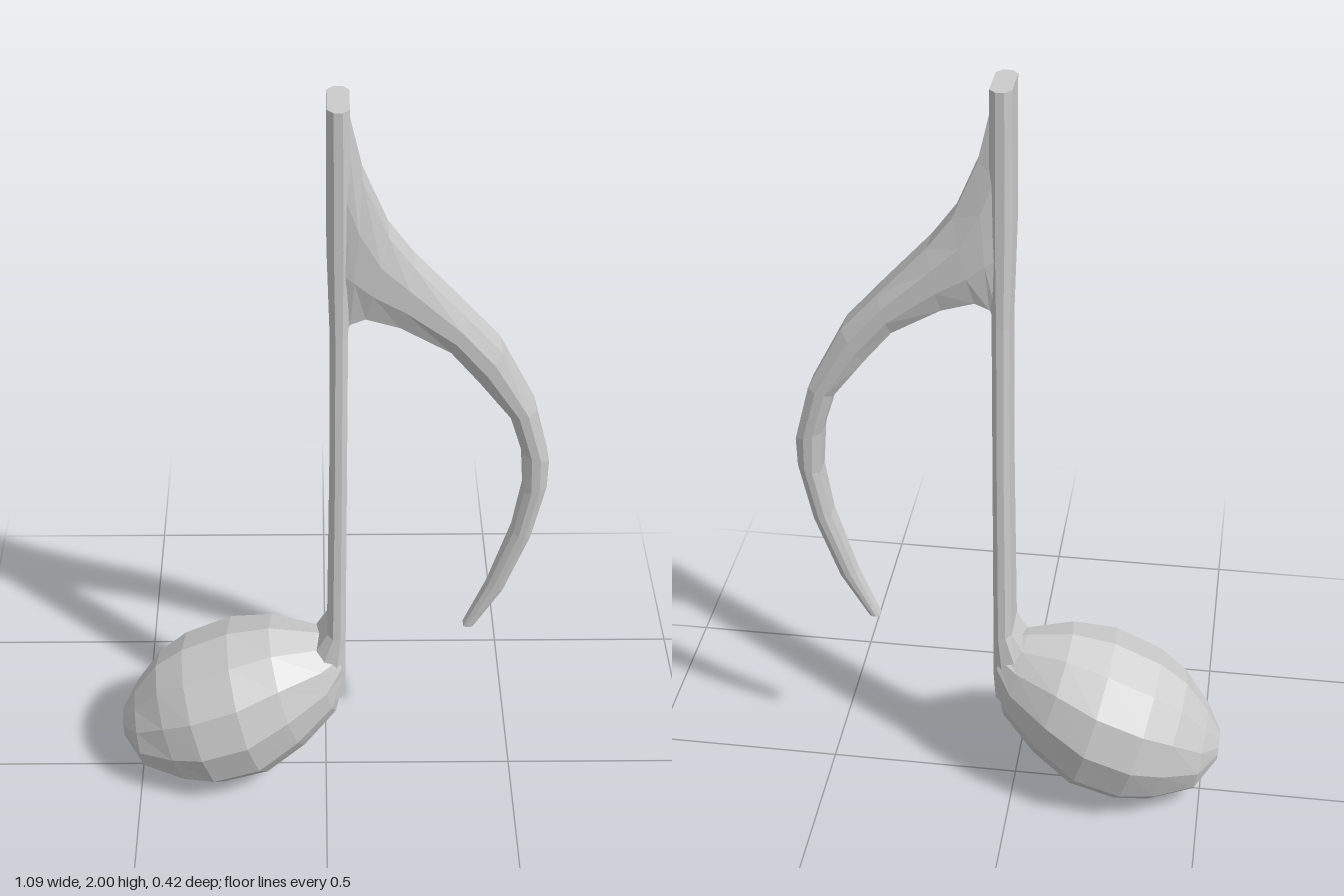
import * as THREE from 'three';

const material = new THREE.MeshStandardMaterial({ color: 0xcccccc, flatShading: true });

// Unit profiles: u runs between the two outline points, v runs along z
const oval = Array.from({ length: 12 }, (_, i) => {
  const t = (i / 12) * Math.PI * 2;
  return [Math.cos(t), Math.sin(t)];
});
const chamfered = (u, v) => [[1, -v], [1, v], [u, 1], [-u, 1], [-1, v], [-1, -v], [-u, -1], [u, -1]];

// Skin a profile through sections [ax, ay, bx, by, halfDepth] and cap both ends
function loft(name, sections, profile) {
  const n = profile.length;
  const positions = [];
  const index = [];
  for (const [ax, ay, bx, by, h] of sections) {
    for (const [u, v] of profile) {
      const s = (1 + u) / 2;
      positions.push(bx + (ax - bx) * s, by + (ay - by) * s, v * h);
    }
  }
  for (let i = 0; i < sections.length - 1; i++) {
    for (let j = 0; j < n; j++) {
      const a = i * n + j, b = i * n + ((j + 1) % n);
      index.push(a, b, b + n, a, b + n, a + n);
    }
  }
  const last = (sections.length - 1) * n;
  for (let j = 1; j < n - 1; j++) {
    index.push(0, j + 1, j);
    index.push(last, last + j, last + j + 1);
  }
  const indexed = new THREE.BufferGeometry();
  indexed.setAttribute('position', new THREE.Float32BufferAttribute(positions, 3));
  indexed.setIndex(index);
  const geometry = indexed.toNonIndexed();
  geometry.computeVertexNormals();
  const mesh = new THREE.Mesh(geometry, material);
  mesh.name = name;
  return mesh;
}

export function createModel() {
  const group = new THREE.Group();
  group.name = 'musicalNote';

  // Tilted egg-shaped head: upper outline point, lower outline point, half depth
  group.add(loft('noteHead', [
    [-0.545, 0.20, -0.54, 0.12, 0.04],
    [-0.51, 0.27, -0.48, 0.035, 0.115],
    [-0.45, 0.36, -0.36, 0.0, 0.17],
    [-0.38, 0.415, -0.27, 0.005, 0.205],
    [-0.26, 0.47, -0.15, 0.045, 0.21],
    [-0.15, 0.49, -0.05, 0.13, 0.17],
    [-0.03, 0.475, 0.03, 0.23, 0.105],
    [0.03, 0.46, 0.05, 0.35, 0.065],
  ], oval));

  // Upright stem, flaring into the head: left edge, right edge, half depth
  group.add(loft('stem', [
    [-0.02, 0.3, 0.045, 0.3, 0.07],
    [-0.03, 0.45, 0.05, 0.38, 0.07],
    [0.003, 0.51, 0.05, 0.5, 0.066],
    [0.008, 1.0, 0.05, 1.0, 0.06],
    [0.008, 1.4, 0.05, 1.42, 0.055],
    [0.0, 1.65, 0.055, 1.65, 0.058],
    [0.0, 2.0, 0.05, 2.0, 0.065],
  ], chamfered(0.4, 0.75)));

  // Curved flag: outer edge, inner edge, half depth
  group.add(loft('flag', [
    [0.04, 1.99, 0.03, 1.40, 0.052],
    [0.08, 1.82, 0.055, 1.45, 0.056],
    [0.14, 1.68, 0.09, 1.465, 0.057],
    [0.20, 1.60, 0.17, 1.44, 0.055],
    [0.32, 1.47, 0.29, 1.37, 0.053],
    [0.41, 1.37, 0.36, 1.285, 0.051],
    [0.50, 1.20, 0.44, 1.18, 0.047],
    [0.54, 1.05, 0.475, 1.07, 0.042],
    [0.54, 0.97, 0.485, 0.95, 0.038],
    [0.51, 0.81, 0.465, 0.82, 0.031],
    [0.45, 0.63, 0.41, 0.64, 0.022],
    [0.38, 0.505, 0.355, 0.505, 0.016],
  ], chamfered(0.35, 0.7)));

  return group;
}
